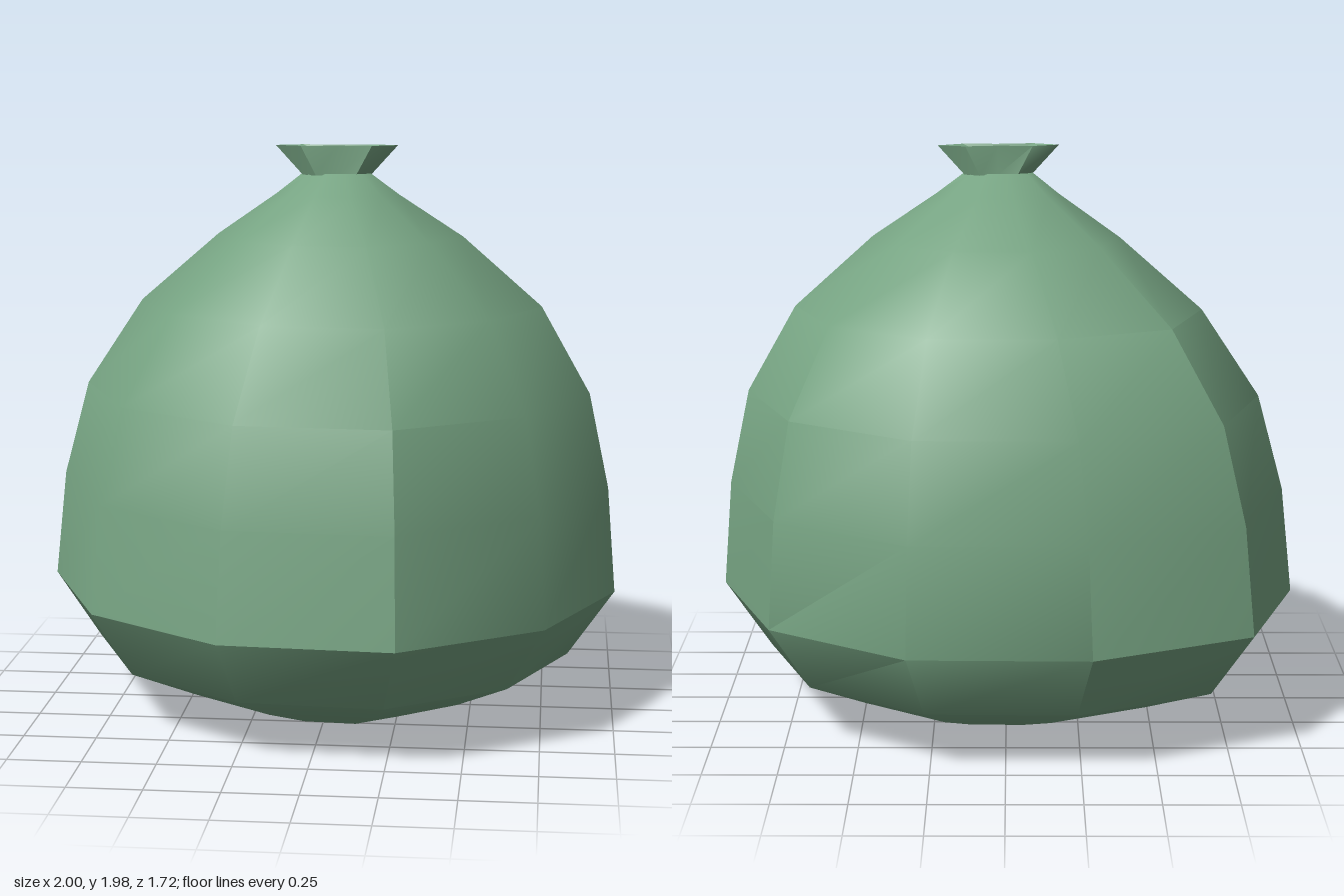
import * as THREE from 'three';
import { toCreasedNormals } from 'three/addons/utils/BufferGeometryUtils.js';

const CREASE = THREE.MathUtils.degToRad(35);

// Skin rings of [x, y, z] points (counter-clockwise seen from above, bottom ring first);
// optional centre points close the two ends.
function loft(rings, bottom, top) {
  const n = rings[0].length, pos = rings.flat(2), idx = [];
  for (let r = 0; r < rings.length - 1; r++) {
    for (let i = 0; i < n; i++) {
      const a = r * n + i, b = r * n + (i + 1) % n;
      idx.push(a, b, b + n, a, b + n, a + n);
    }
  }
  const cap = (centre, start, up) => {
    const c = pos.length / 3;
    pos.push(...centre);
    for (let i = 0; i < n; i++) {
      const a = start + i, b = start + (i + 1) % n;
      if (up) idx.push(c, a, b); else idx.push(c, b, a);
    }
  };
  if (bottom) cap(bottom, 0, false);
  if (top) cap(top, (rings.length - 1) * n, true);
  const g = new THREE.BufferGeometry();
  g.setAttribute('position', new THREE.Float32BufferAttribute(pos, 3));
  g.setIndex(idx);
  return toCreasedNormals(g, CREASE);
}

export function createModel() {
  const group = new THREE.Group();
  group.name = 'tiedSack';
  const material = new THREE.MeshStandardMaterial({ color: 0x76a382, side: THREE.DoubleSide });

  // Uneven ten-sided outline of the sack at its widest, as [x, z]
  const outline = [
    [1, 0.01], [0.79, -0.54], [0.32, -0.85], [-0.28, -0.86], [-0.82, -0.61],
    [-1, -0.08], [-0.76, 0.49], [-0.29, 0.82], [0.29, 0.855], [0.76, 0.54],
  ];
  // Levels: y, xMin, xMax, zMin, zMax
  const levels = [
    [0, -0.28, 0.33, -0.28, 0.26],
    [0.1, -0.58, 0.61, -0.53, 0.52],
    [0.2, -0.84, 0.84, -0.73, 0.72],
    [0.43, -1, 1, -0.86, 0.855],
    [0.8, -0.96, 0.97, -0.83, 0.82],
    [1.13, -0.87, 0.9, -0.77, 0.76],
    [1.43, -0.67, 0.73, -0.62, 0.6],
    [1.67, -0.39, 0.46, -0.355, 0.4],
    [1.815, -0.18, 0.24, -0.13, 0.23],
    [1.885, -0.09, 0.145, 0.01, 0.1],
  ];
  const body = levels.map(([y, x0, x1, z0, z1]) => outline.map(([x, z]) => [
    THREE.MathUtils.mapLinear(x, -1, 1, x0, x1), y,
    THREE.MathUtils.mapLinear(z, -0.86, 0.855, z0, z1),
  ]));
  const sack = new THREE.Mesh(loft(body, [0.02, 0, 0]), material);
  sack.name = 'sackBody';
  group.add(sack);

  // Gathered end: a pinched rim flaring sideways from the neck, sunk in the middle
  const rim = [
    [0.235, 0.035], [0.14, 0], [0.03, 0.025], [-0.09, 0.015],
    [-0.18, 0.06], [-0.09, 0.107], [0.03, 0.085], [0.15, 0.09],
  ];
  const end = new THREE.Mesh(loft([
    rim.map(([x, z]) => [0.028 + (x - 0.028) * 0.56, 1.88, z]),
    rim.map(([x, z]) => [x, 1.98, z]),
  ], null, [0.03, 1.92, 0.055]), material);
  end.name = 'gatheredEnd';
  group.add(end);

  return group;
}
